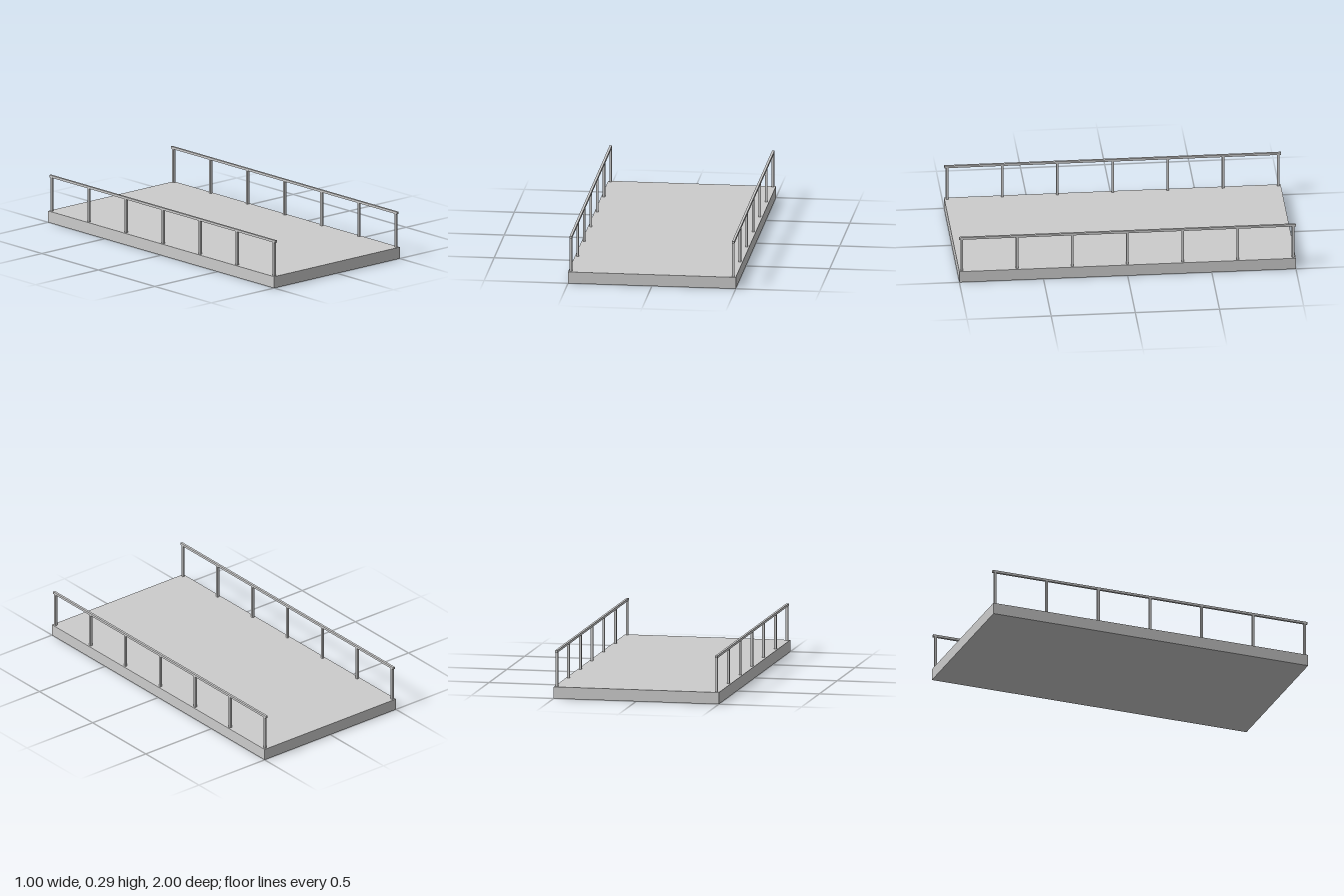
import * as THREE from 'three';

const DECK_W = 1, DECK_L = 2, DECK_H = 0.07;
const BAR = 0.014;                     // thickness of posts and rails
const TOP = 0.289;                     // top of the handrails
const RAIL_X = 0.484, END_Z = 0.984, POSTS = 7;

export function createModel() {
  const model = new THREE.Group();
  model.name = 'bridgeDeck';
  const material = new THREE.MeshStandardMaterial({ color: 0xcccccc, flatShading: true });

  // Box standing on a given height
  function addBox(parent, name, w, h, d, x, bottom, z) {
    const mesh = new THREE.Mesh(new THREE.BoxGeometry(w, h, d), material);
    mesh.name = name;
    mesh.position.set(x, bottom + h / 2, z);
    parent.add(mesh);
  }

  // Floor slab
  addBox(model, 'deck', DECK_W, DECK_H, DECK_L, 0, 0, 0);

  // A railing along each long side: evenly spaced posts under a handrail
  for (const side of [-1, 1]) {
    const railing = new THREE.Group();
    railing.name = side > 0 ? 'leftRailing' : 'rightRailing';
    railing.position.x = side * RAIL_X;
    for (let i = 0; i < POSTS; i++) {
      const z = END_Z * (1 - (2 * i) / (POSTS - 1));
      addBox(railing, `post${i + 1}`, BAR, TOP - BAR - DECK_H, BAR, 0, DECK_H, z);
    }
    addBox(railing, 'handrail', BAR, BAR, DECK_L, 0, TOP - BAR, 0);
    model.add(railing);
  }
  return model;
}
